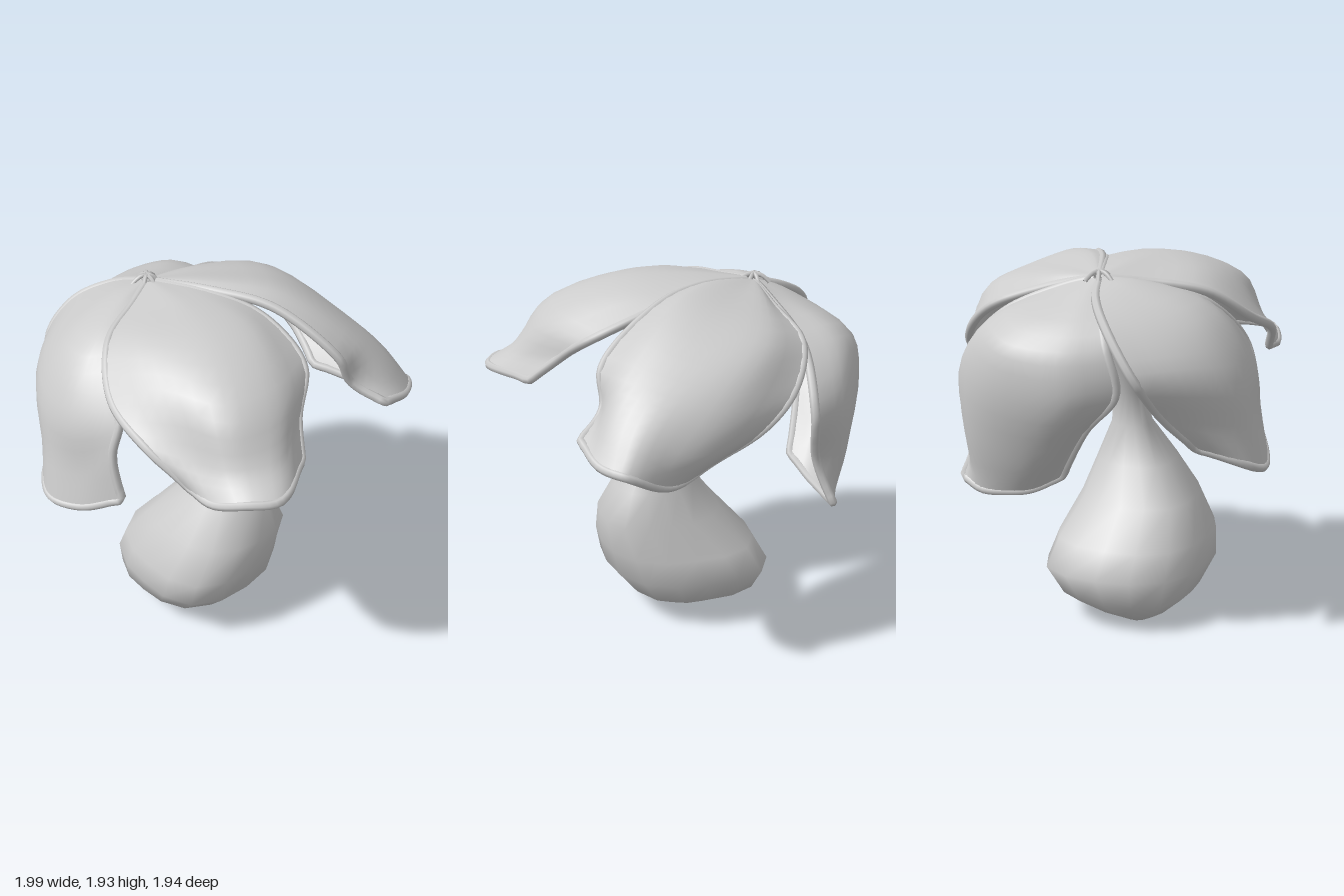
import * as THREE from 'three';

const V = (x, y, z) => new THREE.Vector3(x, y, z);
const APEX = V(-0.41, 1.88, -0.3);
const grey = () => new THREE.MeshStandardMaterial({ color: 0xcccccc, side: THREE.DoubleSide });

// Surface through a grid of points; wrap joins the last column to the first
function sheet(grid, wrap = false) {
  const cols = grid[0].length, index = [];
  for (let i = 0; i < grid.length - 1; i++)
    for (let j = 0; j < (wrap ? cols : cols - 1); j++) {
      const k = (j + 1) % cols, a = i * cols, b = a + cols;
      index.push(a + j, b + j, a + k, b + j, b + k, a + k);
    }
  const g = new THREE.BufferGeometry().setFromPoints(grid.flat());
  g.setIndex(index);
  g.computeVertexNormals();
  return g;
}

// Petal: five ribs fan out from the apex, are splined across, thickened and given a rolled edge
function petal(name, ribs) {
  const rows = 18, cols = 16, thick = 0.03;
  const curves = ribs.map(r => new THREE.CatmullRomCurve3([APEX, ...r.map(p => V(...p))]));
  const outer = [];
  for (let i = 0; i <= rows; i++) {
    const t = 0.03 + 0.97 * i / rows;
    outer.push(new THREE.CatmullRomCurve3(curves.map(c => c.getPoint(t))).getPoints(cols));
  }
  const outerGeo = sheet(outer), n = outerGeo.attributes.normal;
  const offset = d => outer.map((row, i) => row.map((p, j) =>
    p.clone().addScaledVector(V().fromBufferAttribute(n, i * (cols + 1) + j), -d)));
  const inner = offset(thick), mid = offset(thick / 2);

  const group = new THREE.Group();
  group.name = name;
  const add = (geo, part) => {
    const m = new THREE.Mesh(geo, grey());
    m.name = part;
    group.add(m);
  };
  add(outerGeo, name + 'Outside');
  add(sheet(inner.map(r => [...r].reverse())), name + 'Inside');
  const border = [
    ...mid.map(r => r[0]),
    ...mid[rows].slice(1, -1),
    ...mid.map(r => r[cols]).reverse(),
  ];
  add(new THREE.TubeGeometry(new THREE.CatmullRomCurve3(border), 110, 0.024, 7), name + 'RolledEdge');
  return group;
}

// Bulb and leaning stalk: rings [y, centre x, radius x, centre z, radius z], slimmer on the diagonals
function bulb() {
  const rings = [
    [0.0, -0.28, 0, -0.06, 0], [0.005, -0.29, 0.1, -0.06, 0.08], [0.05, -0.23, 0.24, -0.04, 0.22],
    [0.15, -0.2, 0.385, -0.04, 0.39], [0.29, -0.155, 0.44, -0.02, 0.49], [0.43, -0.125, 0.425, 0.025, 0.455],
    [0.62, -0.045, 0.375, 0.08, 0.335], [0.8, 0, 0.255, 0.075, 0.23], [1.0, -0.01, 0.14, 0.04, 0.115],
    [1.2, -0.07, 0.115, -0.01, 0.075], [1.45, -0.18, 0.1, -0.09, 0.065], [1.7, -0.3, 0.08, -0.21, 0.06],
    [1.86, -0.4, 0.05, -0.29, 0.045],
  ];
  const sides = 16;
  const grid = rings.map(([y, cx, rx, cz, rz]) => Array.from({ length: sides }, (_, j) => {
    const a = -j / sides * Math.PI * 2, d = Math.sin(2 * a);
    const s = 1 - 0.08 * d * d + 0.03 * d;
    return V(cx + s * rx * Math.cos(a), y, cz + s * rz * Math.sin(a));
  }));
  const m = new THREE.Mesh(sheet(grid.reverse(), true), grey());
  m.name = 'bulbAndStalk';
  return m;
}

// Little crinkled knot where the petals meet
function knot() {
  const g = new THREE.Group();
  g.name = 'apexKnot';
  for (let i = 0; i < 7; i++) {
    const a = i / 7 * Math.PI * 2, r = 0.06 + 0.025 * (i % 2);
    const path = new THREE.QuadraticBezierCurve3(
      V(0, 0.015, 0), V(r * 0.4 * Math.cos(a), 0.035, r * 0.4 * Math.sin(a)), V(r * Math.cos(a), -0.02, r * Math.sin(a)));
    const m = new THREE.Mesh(new THREE.TubeGeometry(path, 5, 0.012, 5), grey());
    m.name = 'knotFold';
    g.add(m);
  }
  g.position.copy(APEX);
  return g;
}

export function createModel() {
  const model = new THREE.Group();
  model.name = 'hangingBlossom';

  // Ribs run from the petal's right edge to its left edge, seen from the apex
  const front = petal('frontPetal', [
    [[-0.47, 1.86, -0.1], [-0.57, 1.81, 0.2], [-0.53, 1.65, 0.48], [-0.33, 1.53, 0.71], [-0.14, 1.37, 0.8]],
    [[-0.36, 1.89, -0.02], [-0.35, 1.87, 0.3], [-0.25, 1.74, 0.58], [-0.11, 1.5, 0.78], [-0.02, 1.37, 0.91]],
    [[-0.22, 1.92, 0], [-0.05, 1.9, 0.35], [0.05, 1.74, 0.71], [0.1, 1.51, 0.85], [0.15, 1.42, 0.965]],
    [[-0.12, 1.92, -0.06], [0.15, 1.89, 0.2], [0.28, 1.74, 0.55], [0.3, 1.52, 0.77], [0.32, 1.42, 0.92]],
    [[-0.08, 1.91, -0.14], [0.2, 1.85, -0.03], [0.42, 1.71, 0.22], [0.4, 1.55, 0.44], [0.42, 1.42, 0.6]],
  ]);
  const left = petal('leftPetal', [
    [[-0.07, 1.92, -0.15], [0.26, 1.88, -0.06], [0.6, 1.65, 0.05], [0.67, 1.47, 0.01], [0.85, 1.37, 0.02]],
    [[-0.05, 1.93, -0.21], [0.3, 1.89, -0.2], [0.67, 1.66, -0.15], [0.82, 1.49, -0.12], [0.97, 1.31, -0.15]],
    [[-0.1, 1.89, -0.37], [0.28, 1.84, -0.42], [0.66, 1.62, -0.37], [0.84, 1.47, -0.34], [0.98, 1.29, -0.32]],
    [[-0.16, 1.86, -0.48], [0.2, 1.77, -0.66], [0.52, 1.55, -0.62], [0.74, 1.32, -0.51], [0.77, 1.17, -0.44]],
    [[-0.23, 1.82, -0.5], [-0.05, 1.71, -0.75], [0.18, 1.53, -0.81], [0.35, 1.37, -0.73], [0.48, 1.21, -0.53]],
  ]);
  const right = petal('rightPetal', [
    [[-0.6, 1.81, -0.39], [-0.83, 1.68, -0.41], [-0.97, 1.48, -0.34], [-0.91, 1.28, -0.19], [-0.88, 1.08, 0.02]],
    [[-0.6, 1.83, -0.28], [-0.84, 1.69, -0.15], [-0.98, 1.48, -0.05], [-0.95, 1.2, 0.1], [-0.94, 1.01, 0.23]],
    [[-0.58, 1.85, -0.18], [-0.79, 1.72, 0.07], [-0.92, 1.45, 0.19], [-0.9, 1.17, 0.31], [-0.9, 0.96, 0.38]],
    [[-0.53, 1.86, -0.1], [-0.68, 1.73, 0.2], [-0.76, 1.45, 0.38], [-0.72, 1.2, 0.44], [-0.72, 0.98, 0.49]],
    [[-0.48, 1.85, -0.06], [-0.57, 1.76, 0.2], [-0.5, 1.52, 0.47], [-0.54, 1.33, 0.51], [-0.5, 1.08, 0.55]],
  ]);
  const back = petal('backPetal', [
    [[-0.3, 1.83, -0.45], [-0.11, 1.67, -0.73], [0.05, 1.38, -0.88], [-0.06, 1.07, -0.85], [-0.11, 0.84, -0.94]],
    [[-0.38, 1.81, -0.49], [-0.3, 1.68, -0.83], [-0.19, 1.43, -0.95], [-0.19, 1.07, -0.94], [-0.22, 0.79, -0.88]],
    [[-0.46, 1.8, -0.49], [-0.53, 1.62, -0.82], [-0.5, 1.38, -0.88], [-0.41, 1.04, -0.83], [-0.32, 0.79, -0.77]],
    [[-0.54, 1.8, -0.44], [-0.72, 1.6, -0.63], [-0.75, 1.35, -0.65], [-0.59, 1.05, -0.65], [-0.4, 0.81, -0.66]],
    [[-0.58, 1.8, -0.37], [-0.8, 1.61, -0.42], [-0.83, 1.38, -0.38], [-0.66, 1.16, -0.47], [-0.47, 0.88, -0.53]],
  ]);

  model.add(bulb(), knot(), front, left, right, back);
  return model;
}
